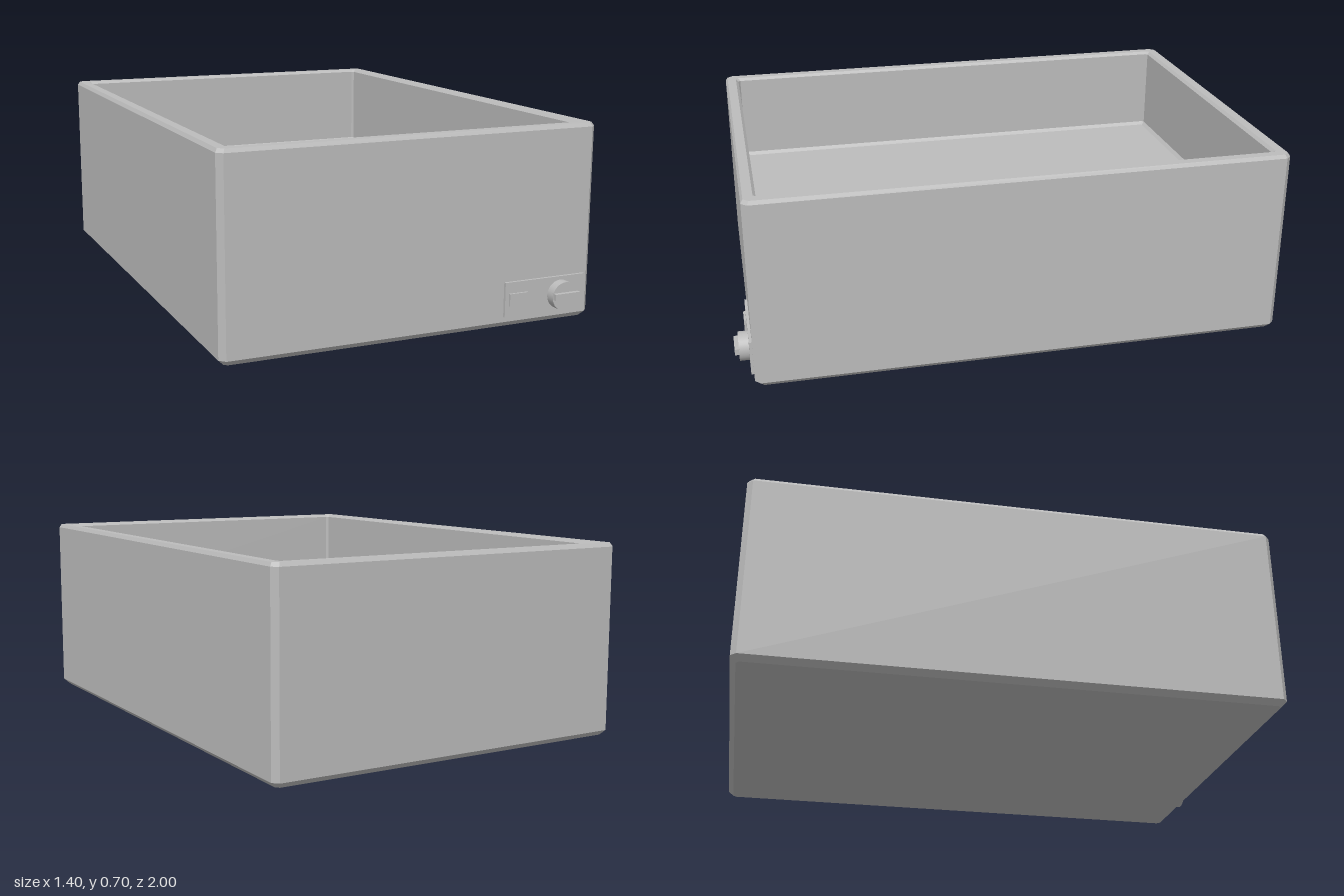
import * as THREE from 'three';

const grey = new THREE.MeshStandardMaterial({ color: 0xbcbcbc });
grey.name = 'plain grey';

// Tray extents
const X = 0.7, BACK = -1, FRONT = 0.94;

// Rectangle with cut corners, counter-clockwise from above
function ring(inset, cut, y) {
  const x = X - inset, f = FRONT - inset, b = BACK + inset;
  return [
    [x, f - cut], [x, b + cut], [x - cut, b], [-x + cut, b],
    [-x, b + cut], [-x, f - cut], [-x + cut, f], [x - cut, f],
  ].map(([px, pz]) => new THREE.Vector3(px, y, pz));
}

// Skin successive rings with flat faces and close both ends
function skin(rings) {
  const pts = [];
  const n = rings[0].length;
  for (let r = 0; r < rings.length - 1; r++) {
    const lo = rings[r], hi = rings[r + 1];
    for (let i = 0; i < n; i++) {
      const j = (i + 1) % n;
      pts.push(lo[i], lo[j], hi[j], lo[i], hi[j], hi[i]);
    }
  }
  const first = rings[0], last = rings[rings.length - 1];
  for (let i = 1; i < n - 1; i++) {
    pts.push(first[0], first[i + 1], first[i], last[0], last[i], last[i + 1]);
  }
  const geometry = new THREE.BufferGeometry().setFromPoints(pts);
  geometry.computeVertexNormals();
  return geometry;
}

function add(parent, name, geometry, x = 0, y = 0, z = 0) {
  const mesh = new THREE.Mesh(geometry, grey);
  mesh.name = name;
  mesh.position.set(x, y, z);
  parent.add(mesh);
  return mesh;
}

export function createModel() {
  const model = new THREE.Group();
  model.name = 'openTray';

  // Open body: bevelled outside, rim, inner walls and raised floor
  add(model, 'body', skin([
    ring(0.02, 0.012, 0),
    ring(0, 0.02, 0.02),
    ring(0, 0.02, 0.69),
    ring(0.008, 0.018, 0.703),
    ring(0.042, 0.01, 0.703),
    ring(0.052, 0.008, 0.693),
    ring(0.052, 0.008, 0.37),
    ring(0.064, 0.006, 0.358),
  ]));

  // Control panel low on the front
  const panel = new THREE.Group();
  panel.name = 'controlPanel';
  model.add(panel);
  add(panel, 'panelPlate', new THREE.BoxGeometry(0.325, 0.125, 0.02), 0.503, 0.102, 0.94);
  add(panel, 'switch', new THREE.BoxGeometry(0.073, 0.045, 0.02), 0.392, 0.102, 0.948);

  // Round dial with a raised grip bar
  const dial = new THREE.Group();
  dial.name = 'dial';
  dial.position.set(0.565, 0.1, 0.945);
  panel.add(dial);
  const base = add(dial, 'dialBase', new THREE.CylinderGeometry(0.052, 0.052, 0.04, 32), 0, 0, 0.02);
  base.rotation.x = Math.PI / 2;
  add(dial, 'dialGrip', new THREE.BoxGeometry(0.1, 0.022, 0.02), 0, 0.004, 0.045);

  return model;
}
